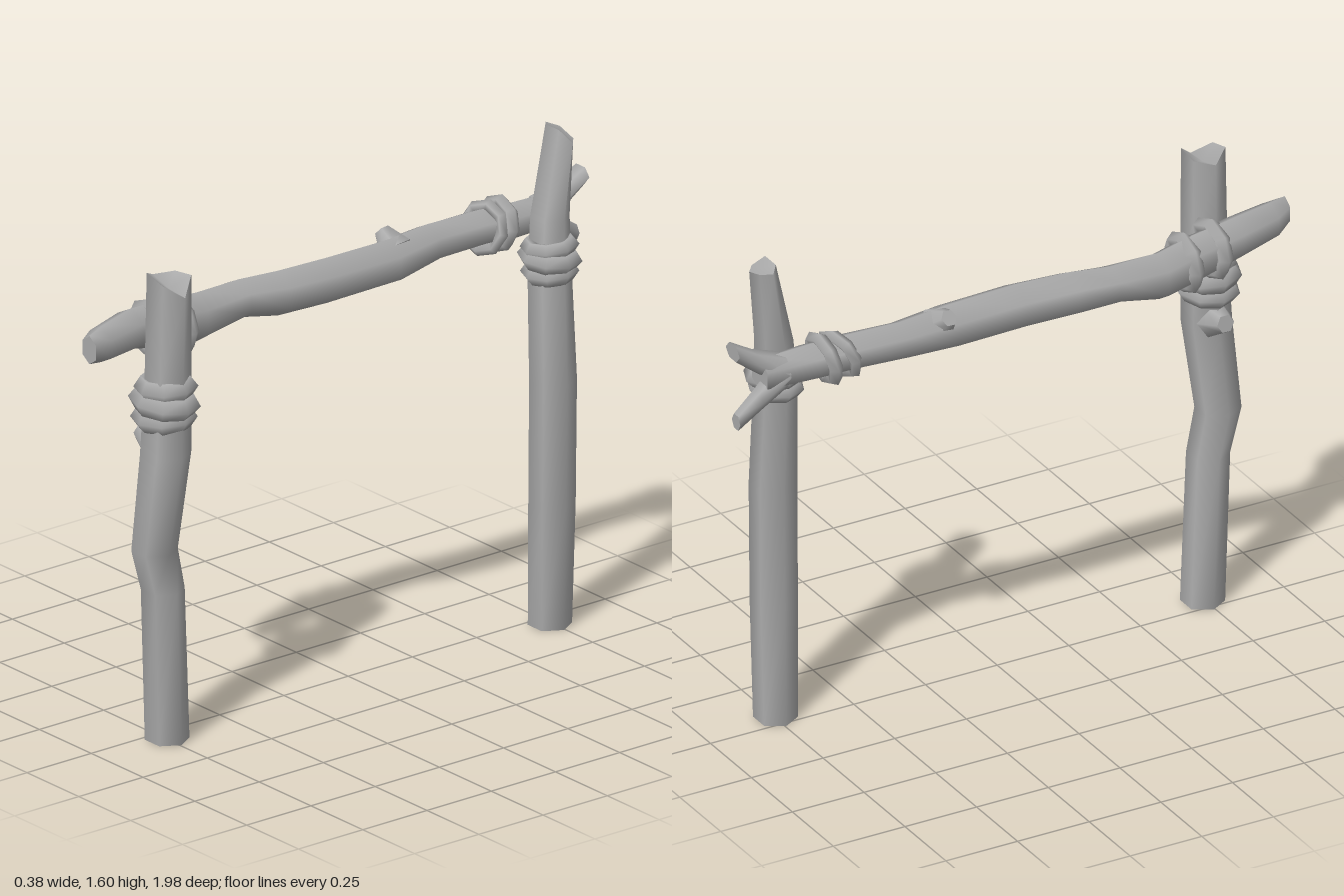
import * as THREE from 'three';

const wood = new THREE.MeshStandardMaterial({ color: 0xaaaaaa });
wood.name = 'plain grey';

// Lofts a capped log through sections [x, y, z, radiusU, radiusV].
// axis 'y': rings lie flat; axis 'z': rings stand upright (sections run back to front).
// endShift moves each vertex of the last ring along the axis, for a broken end.
function log(name, axis, sections, { sides = 6, turn = 0, endShift = [], dip = 0 } = {}) {
  const pos = [], index = [];
  const last = sections.length - 1;
  const ring = (i) => {
    const [x, y, z, ru, rv] = sections[i];
    return Array.from({ length: sides }, (_, k) => {
      const a = turn + (k / sides) * Math.PI * 2;
      const u = ru * Math.cos(a), v = rv * Math.sin(a);
      const s = i === last ? endShift[k] || 0 : 0;
      return axis === 'y' ? [x + u, y + s, z - v] : [x + u, y + v, z + s];
    });
  };
  sections.forEach((_, i) => ring(i).forEach((p) => pos.push(...p)));
  for (let i = 0; i < last; i++) {
    for (let k = 0; k < sides; k++) {
      const a = i * sides + k, b = i * sides + (k + 1) % sides;
      index.push(a, b, b + sides, a, b + sides, a + sides);
    }
  }
  // End caps with their own vertices, so their edges stay sharp
  for (const i of [0, last]) {
    const start = pos.length / 3, pts = ring(i);
    const c = [0, 1, 2].map((j) => pts.reduce((t, p) => t + p[j], 0) / sides);
    if (i === last) c[axis === 'y' ? 1 : 2] -= dip;
    [...pts, c].forEach((p) => pos.push(...p));
    for (let k = 0; k < sides; k++) {
      const a = start + k, b = start + (k + 1) % sides;
      if (i === 0) index.push(b, a, start + sides);
      else index.push(a, b, start + sides);
    }
  }
  const geo = new THREE.BufferGeometry();
  geo.setAttribute('position', new THREE.Float32BufferAttribute(pos, 3));
  geo.setIndex(index);
  geo.computeVertexNormals();
  const mesh = new THREE.Mesh(geo, wood);
  mesh.name = name;
  return mesh;
}

// One turn of binding; rx and ry are its outer half-sizes before rotation.
function binding(name, [x, y, z], rx, ry, tube, rotation) {
  const geo = new THREE.TorusGeometry(1 - tube / rx, tube / rx, 5, 8);
  geo.scale(rx, ry, rx);
  const mesh = new THREE.Mesh(geo, wood);
  mesh.name = name;
  mesh.position.set(x, y, z);
  mesh.rotation.set(...rotation);
  return mesh;
}

// Short tapered stub of a cut twig, pointing along dir.
function stub(name, [x, y, z], dir, r, length) {
  const mesh = new THREE.Mesh(new THREE.CylinderGeometry(r * 0.45, r, length, 6), wood);
  mesh.name = name;
  mesh.position.set(x, y, z);
  mesh.quaternion.setFromUnitVectors(new THREE.Vector3(0, 1, 0), new THREE.Vector3(...dir).normalize());
  return mesh;
}

export function createModel() {
  const model = new THREE.Group();
  model.name = 'lashedLogFrame';

  // Upright posts
  model.add(
    log('frontPost', 'y', [
      [0.05, 0, 0.745, 0.07, 0.068],
      [0.06, 0.5, 0.77, 0.07, 0.066],
      [0.07, 0.64, 0.81, 0.07, 0.072],
      [0.08, 0.95, 0.775, 0.08, 0.078],
      [0.085, 1.2, 0.77, 0.075, 0.07],
      [0.09, 1.5, 0.77, 0.078, 0.064],
    ], { endShift: [-0.02, 0.03, 0.02, 0.01, 0.04, 0.02], dip: 0.03 }),
    log('backPost', 'y', [
      [0.05, 0, -0.745, 0.068, 0.068],
      [0.06, 0.4, -0.745, 0.068, 0.075],
      [0.065, 0.8, -0.745, 0.07, 0.075],
      [0.045, 1.15, -0.748, 0.072, 0.066],
      [0.025, 1.32, -0.765, 0.07, 0.056],
      [0.015, 1.58, -0.81, 0.066, 0.032],
    ], { endShift: [-0.02, -0.02, 0, 0.01, 0.02, 0.02] }),
  );

  // Crooked crossbar with a forked back end
  model.add(
    log('crossbar', 'z', [
      [-0.09, 1.28, -0.88, 0.055, 0.055],
      [-0.09, 1.28, -0.7, 0.066, 0.06],
      [-0.1, 1.285, -0.58, 0.07, 0.058],
      [-0.108, 1.28, -0.4, 0.068, 0.062],
      [-0.085, 1.27, -0.22, 0.08, 0.072],
      [-0.08, 1.272, 0.02, 0.08, 0.074],
      [-0.092, 1.272, 0.2, 0.075, 0.073],
      [-0.118, 1.28, 0.33, 0.07, 0.062],
      [-0.115, 1.262, 0.5, 0.07, 0.08],
      [-0.1, 1.28, 0.62, 0.07, 0.08],
      [-0.082, 1.305, 0.78, 0.072, 0.066],
      [-0.04, 1.305, 0.93, 0.062, 0.058],
      [-0.015, 1.31, 0.995, 0.038, 0.046],
    ], { turn: Math.PI / 6 }),
    log('upperProng', 'z', [
      [-0.075, 1.375, -0.965, 0.043, 0.03],
      [-0.08, 1.325, -0.89, 0.045, 0.038],
      [-0.09, 1.285, -0.8, 0.055, 0.05],
    ], { endShift: [] }),
    log('lowerProng', 'z', [
      [-0.13, 1.165, -0.985, 0.026, 0.028],
      [-0.115, 1.215, -0.9, 0.035, 0.036],
      [-0.095, 1.275, -0.8, 0.05, 0.05],
    ]),
  );

  // Cut twigs
  model.add(
    stub('crossbarKnot', [-0.125, 1.315, -0.26], [-1, 0.8, 0.1], 0.06, 0.08),
    stub('frontPostKnot', [0.005, 0.975, 0.775], [-1, 0.25, 0], 0.065, 0.09),
  );

  // Bindings around the posts
  const flat = Math.PI / 2;
  [
    [0.068, 1.065, 0.772, 0.108, 0.1, 0.034, 0.04],
    [0.07, 1.115, 0.772, 0.12, 0.105, 0.038, -0.06],
    [0.075, 1.165, 0.77, 0.104, 0.096, 0.036, 0.05],
    [0.045, 1.15, -0.748, 0.092, 0.09, 0.03, 0.04],
    [0.045, 1.195, -0.748, 0.1, 0.102, 0.032, -0.08],
    [0.042, 1.232, -0.75, 0.09, 0.093, 0.028, 0.06],
  ].forEach(([x, y, z, rx, rz, tube, tilt]) =>
    model.add(binding('postBinding', [x, y, z], rx, rz, tube, [flat + tilt, tilt, 0])));

  // Bindings around the crossbar
  [
    [-0.09, 1.27, 0.6, 0.102, 0.102, 0.028, 0, 0],
    [-0.078, 1.285, 0.7, 0.108, 0.1, 0.028, 0.05, 0.05],
    [-0.095, 1.282, -0.605, 0.092, 0.09, 0.022, -0.3, 0.25],
    [-0.097, 1.282, -0.66, 0.095, 0.092, 0.024, -0.2, 0],
  ].forEach(([x, y, z, rx, ry, tube, tiltX, tiltY]) =>
    model.add(binding('crossbarBinding', [x, y, z], rx, ry, tube, [tiltX, tiltY, 0])));

  return model;
}
